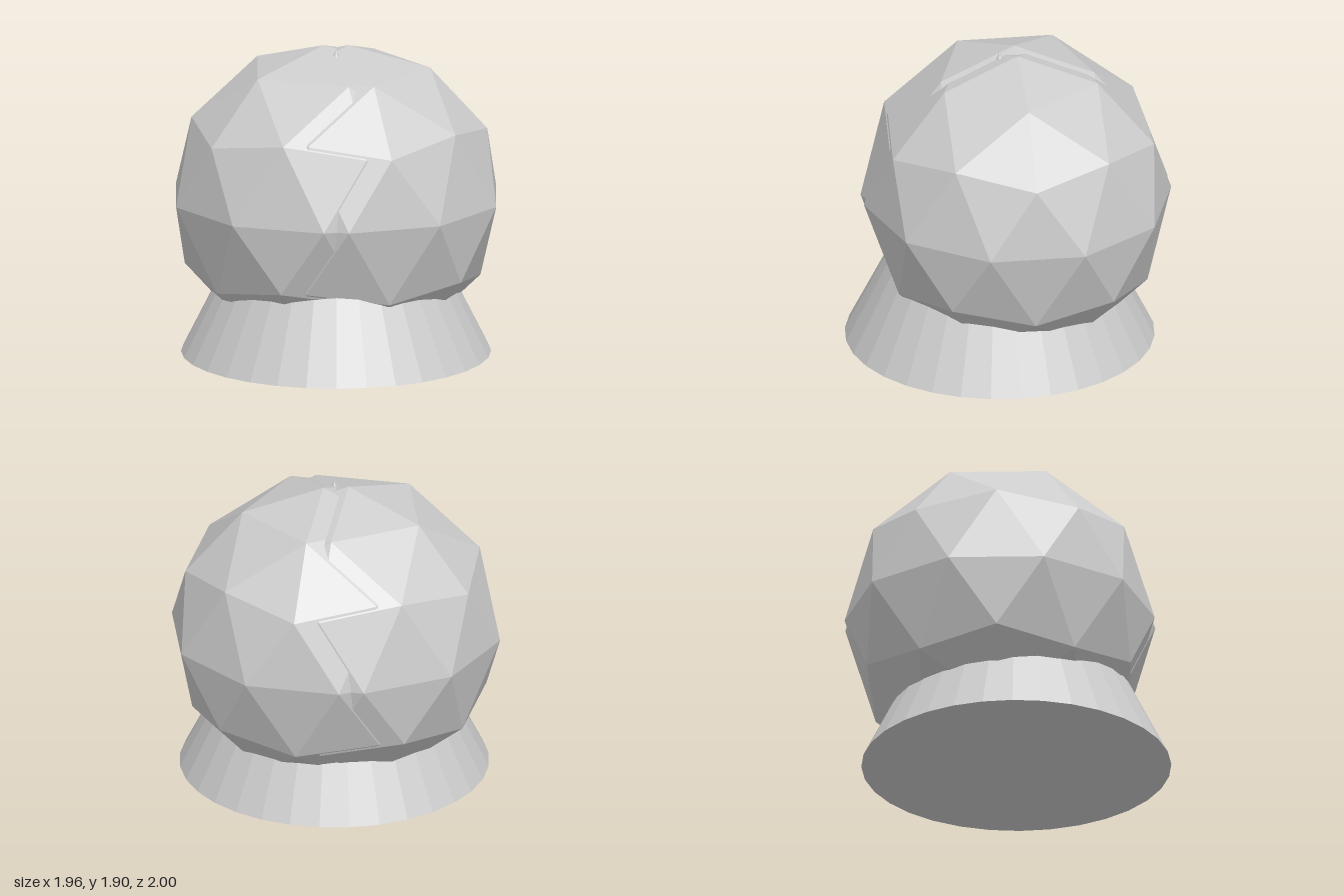
import * as THREE from 'three';

const R = 0.95;

// Unindexed copy with one normal per face, for crisp facets
function faceted(geometry) {
  const g = geometry.index ? geometry.toNonIndexed() : geometry;
  g.computeVertexNormals();
  return g;
}

export function createModel() {
  const model = new THREE.Group();
  model.name = 'facetedBallOnCone';

  const grey = new THREE.MeshStandardMaterial({ color: 0xcccccc, flatShading: true });
  grey.name = 'grey';

  // Tall cone: its skirt is the stand, its tip just pierces the top of the ball
  const cone = new THREE.Mesh(faceted(new THREE.ConeGeometry(R, 2 * R, 32)), grey);
  cone.name = 'coneStand';
  cone.position.set(0, R, 0.05);
  model.add(cone);

  // Two overlapping icospheres, each turned so that a vertex points straight up
  const ballGeometry = new THREE.IcosahedronGeometry(R, 1);
  ballGeometry.rotateZ(-Math.atan(2 / (1 + Math.sqrt(5))));
  faceted(ballGeometry);
  for (const side of [1, -1]) {
    const ball = new THREE.Mesh(ballGeometry, grey);
    ball.name = side > 0 ? 'leftBall' : 'rightBall';
    ball.position.set(side * 0.077, 0.955, -0.05);
    model.add(ball);
  }

  return model;
}
